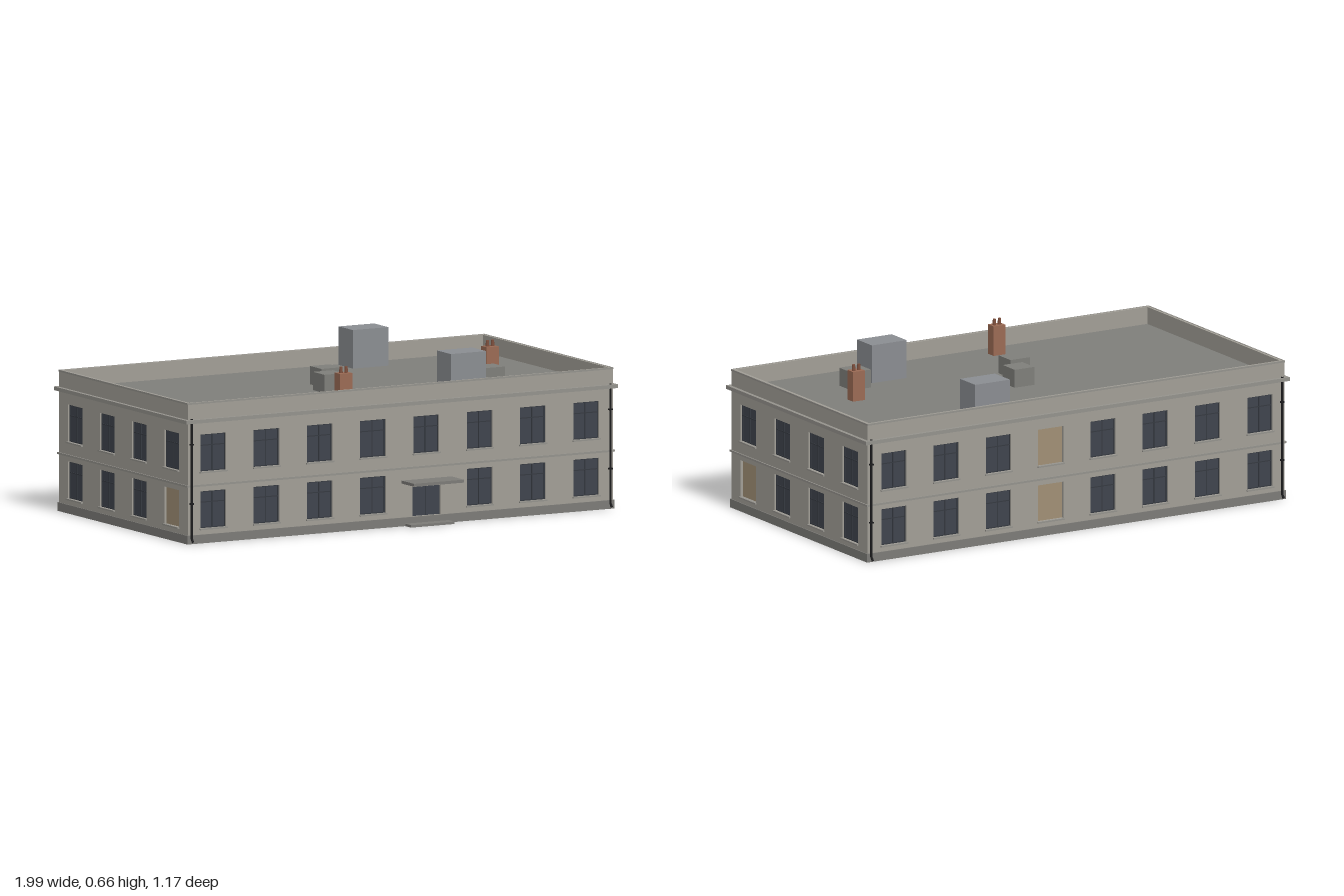
import * as THREE from 'three';

const HX = 0.98, HZ = 0.521, CZ = -0.04, TOP = 0.57, DECK = 0.5, T = 0.015;
const mat = (color) => new THREE.MeshStandardMaterial({ color });

export function createModel() {
  const root = new THREE.Group();
  root.name = 'building';
  const wallMat = mat(0xa19e96), trimMat = mat(0x94928c), plinthMat = mat(0x7c7b77);
  const glassMat = mat(0x3f444d), frameMat = mat(0x353940), panelMat = mat(0xa08f75);
  const deckMat = mat(0x7e7e7a), metalMat = mat(0x8a8d91), brickMat = mat(0x9a6a54);
  const pipeMat = mat(0x1c1c1e), potMat = mat(0x7d4f3d);

  function add(parent, name, geo, material, x = 0, y = 0, z = 0) {
    const m = new THREE.Mesh(geo, material);
    m.name = name;
    m.position.set(x, y, z);
    parent.add(m);
    return m;
  }
  // Box given by its minimum and maximum corners
  function block(parent, name, material, x0, x1, y0, y1, z0, z1) {
    return add(parent, name, new THREE.BoxGeometry(x1 - x0, y1 - y0, z1 - z0), material,
      (x0 + x1) / 2, (y0 + y1) / 2, (z0 + z1) / 2);
  }
  function rect(Type, x0, x1, y0, y1) {
    return new Type([[x0, y0], [x1, y0], [x1, y1], [x0, y1]].map((p) => new THREE.Vector2(...p)));
  }

  // One facade: wall with openings, outer face at local z = 0
  function facade(name, half, openings, px, pz, rot) {
    const g = new THREE.Group();
    g.name = name;
    const shape = rect(THREE.Shape, -half, half, 0, TOP);
    for (const o of openings) shape.holes.push(rect(THREE.Path, o.x - o.w / 2, o.x + o.w / 2, o.y0, o.y1));
    add(g, 'wall', new THREE.ExtrudeGeometry(shape, { depth: T, bevelEnabled: false }), wallMat, 0, 0, -T);
    for (const o of openings) {
      const a = o.x - o.w / 2, b = o.x + o.w / 2;
      const fill = o.kind === 'panel' ? panelMat : glassMat;
      block(g, o.kind, fill, a, b, o.y0, o.y1, -T, -0.01);
      if (o.kind === 'door') {
        block(g, 'doorMeetingStile', frameMat, o.x - 0.002, o.x + 0.002, o.y0, o.y1, -0.01, -0.008);
        continue;
      }
      block(g, 'sill', trimMat, a - 0.004, b + 0.004, o.y0 - 0.006, o.y0, -0.01, 0.008);
      if (o.kind === 'panel') continue;
      // Frame, mullion and transom
      const f = 0.004, ty = o.y0 + (o.y1 - o.y0) * 0.7;
      for (const x of [a + f / 2, o.x, b - f / 2])
        block(g, 'windowFrame', frameMat, x - f / 2, x + f / 2, o.y0, o.y1, -0.01, -0.007);
      for (const y of [o.y0 + f / 2, ty, o.y1 - f / 2])
        block(g, 'windowFrame', frameMat, a, b, y - f / 2, y + f / 2, -0.01, -0.0072);
    }
    g.position.set(px, 0, pz);
    g.rotation.y = rot;
    root.add(g);
  }

  const columns = Array.from({ length: 8 }, (_, i) => -0.863 + i * 0.2455);
  const bays = [-0.39, -0.13, 0.13, 0.39];
  const floors = [[0.06, 0.21], [0.29, 0.44]];
  function grid(xs, kindOf) {
    return floors.flatMap(([y0, y1], level) =>
      xs.map((x, i) => ({ x, w: 0.118, y0, y1, kind: kindOf(level, i) })));
  }

  // Front has the entrance in its fifth column
  const front = grid(columns, () => 'window');
  front[4] = { x: 0.12, w: 0.13, y0: 0.036, y1: 0.155, kind: 'door' };
  facade('frontWall', HX, front, 0, CZ + HZ, 0);
  facade('backWall', HX, grid(columns.map((x) => -x), (l, i) => (i === 4 ? 'panel' : 'window')), 0, CZ - HZ, Math.PI);
  facade('leftWall', HZ - T, grid(bays, (l, i) => (l === 0 && i === 0 ? 'panel' : 'window')), HX, CZ, Math.PI / 2);
  facade('rightWall', HZ - T, grid(bays, (l, i) => (l === 0 && i === 3 ? 'panel' : 'window')), -HX, CZ, -Math.PI / 2);

  // Bands running round the whole building
  function band(name, material, out, y0, y1) {
    const s = rect(THREE.Shape, -HX - out, HX + out, -HZ - out, HZ + out);
    s.holes.push(rect(THREE.Path, -HX + 0.004, HX - 0.004, -HZ + 0.004, HZ - 0.004));
    const geo = new THREE.ExtrudeGeometry(s, { depth: y1 - y0, bevelEnabled: false });
    geo.rotateX(-Math.PI / 2);
    add(root, name, geo, material, 0, y0, CZ);
  }
  band('plinth', plinthMat, 0.004, 0, 0.035);
  band('stringCourse', trimMat, 0.005, 0.23, 0.238);
  band('cornice', trimMat, 0.015, 0.488, 0.503);
  band('parapetCoping', trimMat, 0.001, TOP - 0.006, TOP + 0.001);

  // Flat roof behind the parapet
  block(root, 'roofDeck', deckMat, -HX + T, HX - T, DECK - 0.01, DECK, CZ - HZ + T, CZ + HZ - T);

  // Entrance canopy and step
  block(root, 'entranceCanopy', plinthMat, 0.005, 0.235, 0.173, 0.185, 0.475, 0.583);
  block(root, 'entranceStep', plinthMat, 0.02, 0.22, 0, 0.01, 0.475, 0.532);

  // Plant boxes and vents on the roof
  block(root, 'plantBox', metalMat, 0.292, 0.455, DECK, 0.656, -0.53, -0.415);
  block(root, 'plantBox', metalMat, 0.312, 0.475, DECK, 0.656, 0.228, 0.341);
  for (const [x, z] of [[-0.02, -0.088], [-0.088, 0.055], [0.56, 0.218]])
    block(root, 'roofVent', deckMat, x - 0.046, x + 0.046, DECK, 0.574, z - 0.046, z + 0.046);

  // Brick chimneys with two pots each
  for (const [x, z] of [[-0.198, 0.368], [0.667, 0.035]]) {
    block(root, 'chimney', brickMat, x - 0.028, x + 0.028, DECK, 0.622, z - 0.022, z + 0.022);
    for (const s of [-1, 1])
      add(root, 'chimneyPot', new THREE.CylinderGeometry(0.006, 0.008, 0.026, 10), potMat, x + s * 0.012, 0.634, z);
  }

  // Corner downpipes with a kicked-out foot
  for (const x of [-0.965, 0.965]) {
    for (const s of [-1, 1]) {
      const wz = CZ + s * HZ;
      const path = new THREE.CurvePath();
      const pts = [[0.508, 0.005], [0.022, 0.005], [0.006, 0.018]]
        .map(([y, d]) => new THREE.Vector3(x, y, wz + s * d));
      for (let i = 0; i < 2; i++) path.add(new THREE.LineCurve3(pts[i], pts[i + 1]));
      add(root, 'downpipe', new THREE.TubeGeometry(path, 48, 0.005, 8), pipeMat);
      for (const y of [0.16, 0.4])
        block(root, 'pipeBracket', pipeMat, x - 0.008, x + 0.008, y, y + 0.006, wz + s * 0.005 - 0.006, wz + s * 0.005 + 0.006);
    }
  }
  return root;
}
